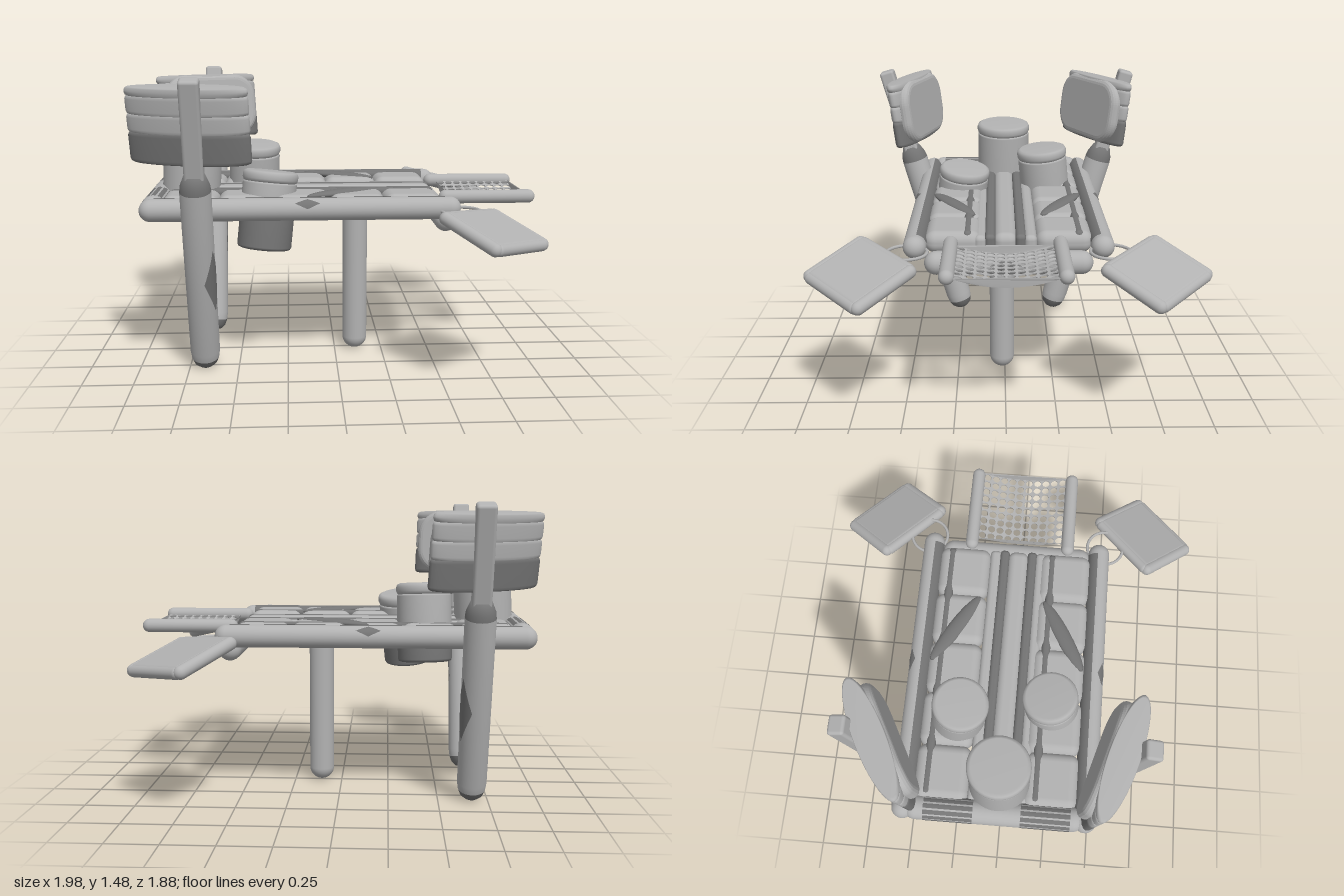
import * as THREE from 'three';
import { RoundedBoxGeometry } from 'three/addons/geometries/RoundedBoxGeometry.js';

const light = new THREE.MeshStandardMaterial({ color: 0xb2b2b2, side: THREE.DoubleSide });
const dark = new THREE.MeshStandardMaterial({ color: 0x747474, side: THREE.DoubleSide });
const V = (x, y, z) => new THREE.Vector3(x, y, z);
const UP = V(0, 1, 0);

function add(parent, name, geo, x = 0, y = 0, z = 0, mat = light) {
  const m = new THREE.Mesh(geo, mat);
  m.name = name;
  m.position.set(x, y, z);
  parent.add(m);
  return m;
}

// Round-ended tube whose total length runs from a to b
function tube(parent, name, a, b, r) {
  const d = b.clone().sub(a);
  const m = add(parent, name, new THREE.CapsuleGeometry(r, d.length() - 2 * r, 8, 24));
  m.position.copy(a).add(b).multiplyScalar(0.5);
  m.quaternion.setFromUnitVectors(UP, d.normalize());
}

const lathe = pts => new THREE.LatheGeometry(pts.map(p => new THREE.Vector2(...p)), 36);

// Puffy disc profile of radius r between heights y0 and y1
function puff(r, y0, y1, b) {
  return [[0, y0], [r - b, y0], [r - b * 0.3, y0 + b * 0.3], [r, y0 + b],
    [r, y1 - b], [r - b * 0.3, y1 - b * 0.3], [r - b, y1], [0, y1]];
}

// Dark patch wrapped round a tube, pointed at both ends or straight
function patch(r, len, mid, span, pointed) {
  const g = new THREE.CylinderGeometry(r, r, len, 12, 12, true);
  const { position: p, normal: n, uv } = g.attributes;
  for (let i = 0; i < p.count; i++) {
    const k = pointed ? 1 - Math.abs(2 * p.getY(i) / len) : 1;
    const a = mid + (uv.getX(i) - 0.5) * span * k;
    p.setXYZ(i, r * Math.sin(a), p.getY(i), r * Math.cos(a));
    n.setXYZ(i, Math.sin(a), 0, Math.cos(a));
  }
  return g;
}

// Rounded cushion facing z, with soft bevelled rims
function cushion(w, h, r, t, bevel) {
  const x = w / 2 - bevel, y = h / 2 - bevel, s = new THREE.Shape();
  s.absarc(x - r, y - r, r, 0, Math.PI / 2);
  s.absarc(r - x, y - r, r, Math.PI / 2, Math.PI);
  s.absarc(r - x, r - y, r, Math.PI, Math.PI * 1.5);
  s.absarc(x - r, r - y, r, Math.PI * 1.5, Math.PI * 2);
  const g = new THREE.ExtrudeGeometry(s, { depth: t - 2 * bevel, bevelSize: bevel,
    bevelThickness: bevel, bevelSegments: 4, curveSegments: 8 });
  return g.translate(0, 0, bevel - t / 2);
}

// Drum seat running through the mattress from bottom to top
function drum(parent, bottom, top, r) {
  const g = new THREE.Group();
  g.name = 'drumSeat';
  const d = top.clone().sub(bottom), h = d.length(), split = 0.85 - bottom.y;
  add(g, 'drumBase', lathe(puff(r * 0.98, 0, split, 0.015)), 0, 0, 0, dark);
  add(g, 'drumBody', lathe(puff(r * 0.98, split - 0.01, h - 0.055, 0.01)));
  add(g, 'drumLid', lathe(puff(r, h - 0.06, h, 0.02)));
  g.position.copy(bottom);
  g.quaternion.setFromUnitVectors(UP, d.normalize());
  parent.add(g);
}

// Sagging net panel with round holes
function net() {
  const w = 0.4, d = 0.46, nx = 9, nz = 10, s = new THREE.Shape();
  s.moveTo(0, -d / 2).lineTo(w, -d / 2).lineTo(w, d / 2).lineTo(0, d / 2).closePath();
  for (let i = 0; i < nx; i++) for (let j = 0; j < nz; j++) {
    const hole = new THREE.Path();
    hole.absarc((i + 0.5) * w / nx, -d / 2 + (j + 0.5) * d / nz, 0.0195, 0, Math.PI * 2, true);
    s.holes.push(hole);
  }
  const g = new THREE.ExtrudeGeometry(s, { depth: 0.006, bevelEnabled: false, curveSegments: 5 });
  g.rotateX(Math.PI / 2);
  const p = g.attributes.position;
  for (let i = 0; i < p.count; i++) {
    const t = p.getZ(i) / (d / 2);
    p.setY(i, p.getY(i) - 0.04 * (1 - t * t));
  }
  g.computeVertexNormals();
  return g;
}

export function createModel() {
  const root = new THREE.Group();
  root.name = 'inflatablePlatform';
  const zc = -0.015, quarter = Math.PI / 2;

  // Frame tubes with dark bands
  tube(root, 'rearTube', V(-0.89, 0.85, zc - 0.44), V(-0.89, 0.85, zc + 0.44), 0.06);
  tube(root, 'frontTube', V(0.535, 0.77, zc - 0.4), V(0.535, 0.77, zc + 0.4), 0.057);
  add(root, 'frontTubePatch', patch(0.0585, 0.17, quarter, 1.2, true).rotateX(quarter), 0.535, 0.77, 0, dark);
  for (const s of [1, -1]) {
    const z = zc + s * 0.443;
    tube(root, 'sideTube', V(-0.95, 0.85, z), V(0.59, 0.85, z), 0.055);
    add(root, 'sideTubeStripe', patch(0.0565, 1.4, quarter + s * 0.75, 1.2, false).rotateZ(quarter),
      -0.18, 0.85, z, dark);
    add(root, 'sideTubePatch', patch(0.0565, 0.12, quarter - s * 0.9, 1, true).rotateZ(quarter),
      -0.15, 0.85, z, dark);
    add(root, 'rearTubeBand', patch(0.0615, 0.24, 0, Math.PI * 2, false).rotateX(quarter),
      -0.89, 0.85, s * 0.235, dark);
  }

  // Mattress: puffed outer rows, dark ribs and centre strips
  for (const s of [1, -1]) {
    for (let i = 0; i < 5; i++)
      add(root, 'mattressPillow', new RoundedBoxGeometry(0.28, 0.11, 0.27, 4, 0.05),
        -0.715 + i * 0.27, 0.85, zc + s * 0.265);
    add(root, 'mattressStrip', new RoundedBoxGeometry(1.35, 0.085, 0.06, 4, 0.025), -0.17, 0.847, s * 0.12);
    add(root, 'mattressRib', new RoundedBoxGeometry(1.35, 0.095, 0.05, 4, 0.02), -0.17, 0.847, s * 0.073, dark);
    add(root, 'pillowRib', new RoundedBoxGeometry(1.32, 0.116, 0.045, 4, 0.02),
      -0.17, 0.85, s * 0.265 - 0.085, dark);
    // Flat leaf pad lying on the mattress
    const leaf = add(root, 'leafPad', new THREE.SphereGeometry(1, 24, 12), 0.035, 0.9, zc + s * 0.277, dark);
    leaf.scale.set(0.215, 0.02, 0.04);
    leaf.rotation.y = s * 0.53;
  }
  add(root, 'mattressStrip', new RoundedBoxGeometry(1.35, 0.1, 0.11, 4, 0.04), -0.17, 0.848, 0);

  // Drum seats
  drum(root, V(-0.75, 0.75, 0), V(-0.725, 1.165, 0), 0.152);
  drum(root, V(-0.43, 0.7, -0.25), V(-0.42, 1.09, -0.21), 0.138);
  drum(root, V(-0.365, 0.62, 0.26), V(-0.325, 1.005, 0.215), 0.138);

  // Centre leg
  tube(root, 'centreLeg', V(0.108, 0.005, 0.015), V(0.108, 0.86, 0.015), 0.065);

  // Leaning legs with square posts
  for (const s of [1, -1]) {
    const leg = new THREE.Group();
    leg.name = 'leaningLeg';
    add(leg, 'legTube', lathe([[0.069, 0.06], [0.074, 0.1], [0.074, 0.99], [0, 0.99]]));
    add(leg, 'legFoot', lathe([[0, 0], [0.035, 0.008], [0.058, 0.03], [0.069, 0.06]]), 0, 0, 0, dark);
    add(leg, 'legCap', lathe([[0.074, 0.985], [0.07, 1.02], [0.05, 1.07], [0, 1.07]]), 0, 0, 0, dark);
    add(leg, 'legPatch', patch(0.0755, 0.34, quarter - s * 0.45, 1.6, true), 0, 0.52, 0, dark);
    add(leg, 'post', new RoundedBoxGeometry(0.092, 0.5, 0.08, 3, 0.015), 0, 1.28, 0);
    leg.position.set(-0.67, 0.005, -0.018 + s * 0.275);
    leg.rotation.x = s * 0.273;
    root.add(leg);

    // Backrest: stacked lens-shaped bands with an inner cushion
    const back = new THREE.Group();
    back.name = 'backrest';
    for (const [y0, y1, mat] of [[-0.175, -0.03, dark], [-0.035, 0.055, light],
      [0.05, 0.14, light], [0.135, 0.178, light]]) {
      const band = add(back, 'backrestBand', lathe(puff(0.3, y0, y1, 0.018)), 0, 0, 0, mat);
      band.scale.z = 0.24;
    }
    add(back, 'backrestCushion', cushion(0.55, 0.355, 0.1, 0.07, 0.034), 0, 0, -s * 0.045);
    back.position.set(-0.695, 1.262, s > 0 ? 0.52 : -0.54);
    back.rotation.set(s * 0.13, s > 0 ? -0.29 : 0.49, 0, 'YXZ');
    root.add(back);

    // Paddle pad sloping down and outward
    const pad = new THREE.Group();
    pad.name = 'paddlePad';
    add(pad, 'padCushion', new RoundedBoxGeometry(0.4, 0.06, 0.34, 5, 0.029));
    for (const e of [1, -1]) {
      tube(pad, 'padEndTube', V(e * 0.19, 0, -0.178), V(e * 0.19, 0, 0.178), 0.031);
      tube(pad, 'padRim', V(-0.2, 0, e * 0.155), V(0.2, 0, e * 0.155), 0.028);
    }
    const u = V(0.73, -0.1, -0.67 * s).normalize();
    const v = V(0.67, -0.35, 0.73 * s).multiplyScalar(s);
    const n = v.clone().cross(u).normalize();
    pad.quaternion.setFromRotationMatrix(new THREE.Matrix4().makeBasis(u, n, u.clone().cross(n)));
    pad.position.set(0.702, 0.783, -0.012 + s * 0.678);
    root.add(pad);

    // Ring tying the pad to the frame
    const ring = add(root, 'tieRing', new THREE.TorusGeometry(0.095, 0.008, 8, 40), 0.583, 0.84, zc + s * 0.475);
    ring.rotation.x = quarter;

    // Net rails
    tube(root, 'netRail', V(0.51, 0.872, s * 0.257), V(0.995, 0.872, s * 0.257), 0.034);
  }
  add(root, 'net', net(), 0.575, 0.872, 0);
  return root;
}
